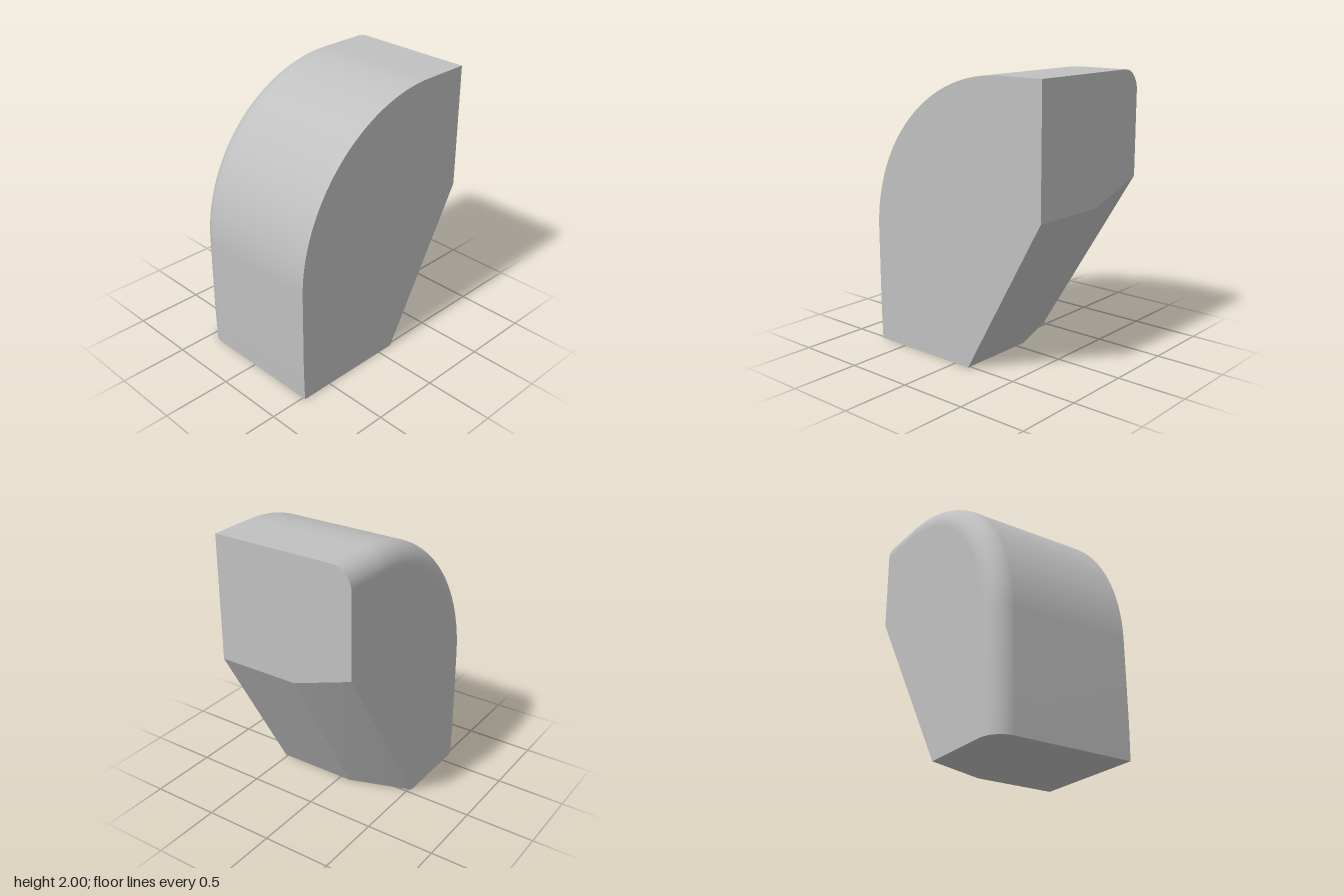
import * as THREE from 'three';

const HALF = 0.52;      // half width
const R = 0.15;         // fillet radius on the -x edge
const BACK = -0.74;     // rear plane
const CREASE = -0.075;  // x where the underside starts to twist away
const ARC_STEPS = 40, FILLET_STEPS = 12;

// Side profile, bottom front to top rear: point (z, y) and inward normal (nz, ny)
function profile() {
  const pts = [
    { z: 0.733, y: 0, nz: -1, ny: 0 },
    { z: 0.74, y: 0.25, nz: -1, ny: 0 },
  ];
  const a = 1.14, b = 1.16, cz = -0.4, cy = 0.84;
  for (let i = 0; i <= ARC_STEPS; i++) {
    const t = (i / ARC_STEPS) * Math.PI / 2;
    const n = new THREE.Vector2(-Math.cos(t) / a, -Math.sin(t) / b).normalize();
    pts.push({ z: cz + a * Math.cos(t), y: cy + b * Math.sin(t), nz: n.x, ny: n.y });
  }
  pts.push({ z: BACK, y: 2, nz: 0, ny: -1 });
  return pts;
}

// Across the width: x position and how far the profile is pulled inward
function columns() {
  const cols = [{ x: HALF, inset: 0 }];
  for (let j = 0; j <= FILLET_STEPS; j++) {
    const t = (j / FILLET_STEPS) * Math.PI / 2;
    cols.push({ x: -HALF + R * (1 - Math.sin(t)), inset: R * (1 - Math.cos(t)) });
  }
  return cols;
}

// Flat convex face as a fan, turned to face away from the body centre
function fan(points) {
  const v = points.map((p) => new THREE.Vector3(...p));
  const mid = v.reduce((s, p) => s.add(p), new THREE.Vector3()).divideScalar(v.length);
  const area = new THREE.Vector3();
  v.forEach((p, i) => {
    area.add(p.clone().sub(mid).cross(v[(i + 1) % v.length].clone().sub(mid)));
  });
  if (area.dot(mid.sub(new THREE.Vector3(0, 1, 0.1))) < 0) v.reverse();
  const index = [];
  for (let i = 1; i < v.length - 1; i++) index.push(0, i, i + 1);
  const g = new THREE.BufferGeometry().setFromPoints(v);
  g.setIndex(index);
  g.computeVertexNormals();
  return g;
}

export function createModel() {
  const group = new THREE.Group();
  group.name = 'roundedBlock';
  const grey = new THREE.MeshStandardMaterial({ color: 0xc0c0c0 });
  grey.name = 'light grey';
  const add = (name, geometry) => {
    const mesh = new THREE.Mesh(geometry, grey);
    mesh.name = name;
    group.add(mesh);
  };

  // Curved front and top with the rounded edge
  const rows = profile(), cols = columns();
  const grid = rows.map((p) => cols.map((c) => [c.x, p.y + p.ny * c.inset, p.z + p.nz * c.inset]));
  const index = [], n = cols.length;
  for (let i = 0; i < rows.length - 1; i++) {
    for (let j = 0; j < n - 1; j++) {
      const a = i * n + j;
      index.push(a, a + n, a + 1, a + 1, a + n, a + n + 1);
    }
  }
  const shell = new THREE.BufferGeometry();
  shell.setAttribute('position', new THREE.Float32BufferAttribute(grid.flat(2), 3));
  shell.setIndex(index);
  shell.computeVertexNormals();
  add('curvedShell', shell);

  // Corners of the sloping underside
  const low = [[HALF, 0, -0.12], [CREASE, 0, -0.12], [-HALF, 0, 0.035]];
  const high = [[HALF, 1.11, BACK], [CREASE, 1.11, BACK], [-HALF, 1.26, BACK]];

  // Flat faces
  add('leftSide', fan([...grid.map((r) => r[0]), high[0], low[0]]));
  add('rightSide', fan([...grid.map((r) => r[n - 1]), high[2], low[2]]));
  add('base', fan([...grid[0], low[2], low[1], low[0]]));
  add('back', fan([...grid[rows.length - 1], high[2], high[1], high[0]]));
  add('slope', fan([low[0], low[1], high[1], high[0]]));
  add('slopeChamfer', fan([low[1], low[2], high[2], high[1]]));
  return group;
}
